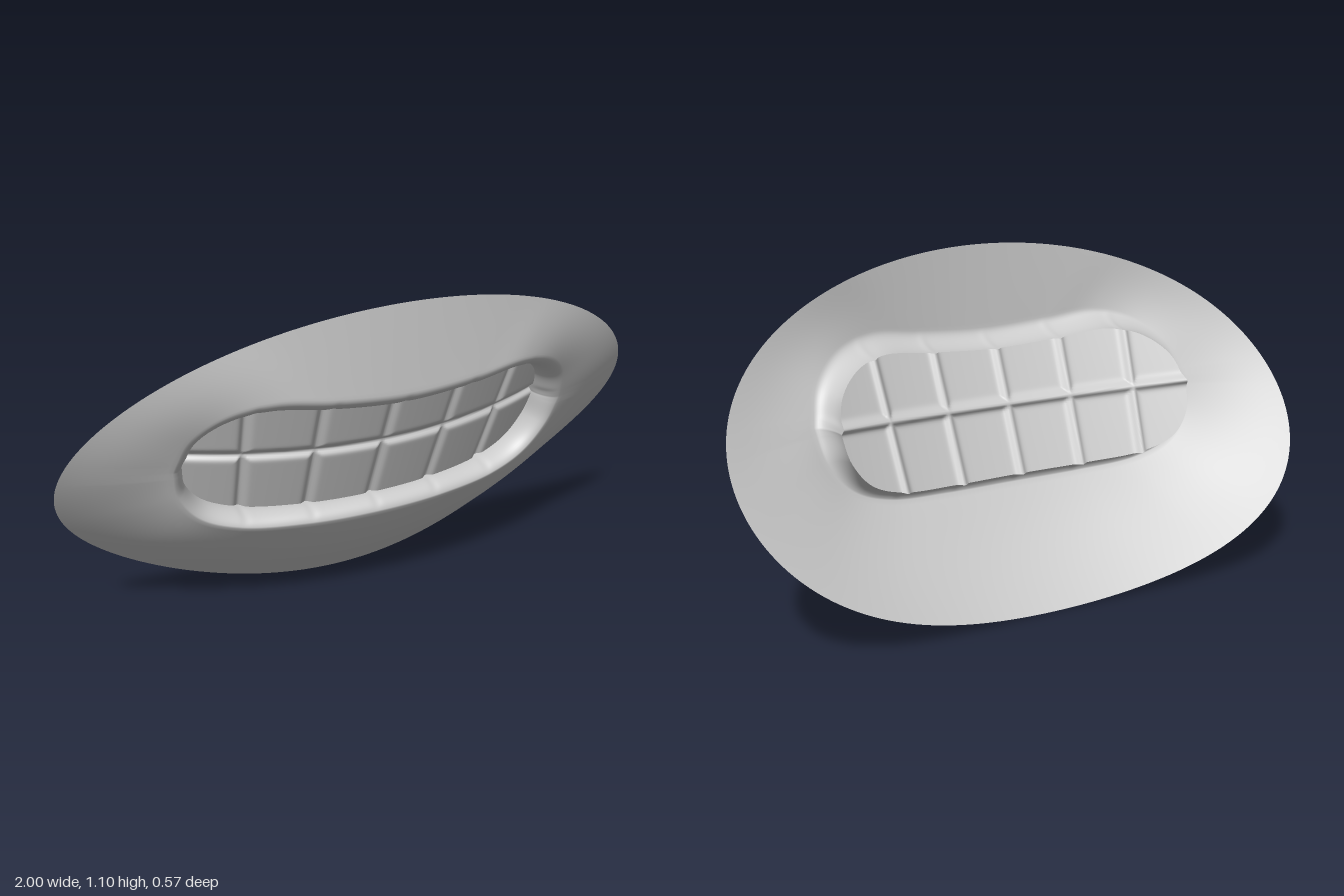
import * as THREE from 'three';

const N = 400; // samples along each half of the mouth outline
const material = new THREE.MeshStandardMaterial({ color: 0xcccccc, side: THREE.DoubleSide });

// Smooth sheet from a rule point(i, j); closed sheets wrap round in i
function sheet(name, cols, rows, closed, point) {
  const pos = [], index = [], w = closed ? cols : cols + 1;
  for (let j = 0; j <= rows; j++)
    for (let i = 0; i < w; i++) pos.push(...point(i, j / rows));
  for (let j = 0; j < rows; j++)
    for (let i = 0; i < cols; i++) {
      const a = j * w + i, b = j * w + (i + 1) % w;
      index.push(a, b, b + w, a, b + w, a + w);
    }
  const geo = new THREE.BufferGeometry();
  geo.setAttribute('position', new THREE.Float32BufferAttribute(pos, 3));
  geo.setIndex(index);
  geo.computeVertexNormals();
  const mesh = new THREE.Mesh(geo, material);
  mesh.name = name;
  return mesh;
}

// Mirrored half outline, sampled from the right corner (-x) to the left (+x)
function mouthEdge(half) {
  const left = half.map(([x, y]) => new THREE.Vector3(x, y, 0));
  const right = half.slice(1).reverse().map(([x, y]) => new THREE.Vector3(-x, y, 0));
  return new THREE.CatmullRomCurve3([...right, ...left]).getPoints(N);
}

// Bowed, leaning tooth row with grooves between the teeth
function toothZ(x, y) {
  const groove = (d, depth) => depth * Math.exp(-((d / 0.014) ** 2));
  let cut = groove(y - 0.603 - 0.07 * x * x, 0.02);
  for (const g of [-0.45, -0.228, 0, 0.228, 0.45])
    cut = Math.max(cut, groove(x - g * (1 + 0.15 * (y - 0.6)), 0.016));
  return 0.108 + 0.44 * (y - 0.59) - 0.33 * x * x - cut;
}

// Depth of the outer rim, s running from -1 (bottom) to 1 (top)
const rimZ = s => -0.085 + 0.398 * s + 0.026 * s ** 2 - 0.138 * s ** 3 + 0.079 * s ** 4;

export function createModel() {
  const group = new THREE.Group();
  group.name = 'mouth';

  const bottom = mouthEdge([[0, 0.385], [0.25, 0.39], [0.45, 0.41], [0.56, 0.455], [0.617, 0.53], [0.635, 0.615]]);
  const top = mouthEdge([[0, 0.77], [0.25, 0.785], [0.42, 0.802], [0.53, 0.775], [0.605, 0.71], [0.635, 0.615]]);

  // Teeth fill the opening between the lower and upper edges
  group.add(sheet('teeth', N, 64, false, (i, v) => {
    const x = THREE.MathUtils.lerp(bottom[i].x, top[i].x, v);
    const y = THREE.MathUtils.lerp(bottom[i].y, top[i].y, v);
    return [x, y, toothZ(x, y)];
  }));

  // Counter-clockwise loop round the opening, with lip ridge and rim points
  const loop = [...bottom.slice(0, N), ...top.slice(1).reverse()];
  const M = loop.length;
  const ribs = loop.map((p, i) => {
    const a = loop[(i + M - 6) % M], b = loop[(i + 6) % M];
    const n = new THREE.Vector2(b.y - a.y, a.x - b.x).normalize();
    const width = 0.05 + 0.004 * n.y;
    const rx = p.x + n.x * width, ry = p.y + n.y * width;
    const angle = Math.atan2((p.y - 0.59) / 0.2, p.x / 0.635);
    const s = Math.sin(angle);
    return {
      inner: new THREE.Vector3(p.x, p.y, toothZ(p.x, p.y)),
      ridge: new THREE.Vector3(rx, ry, 0.08 + 0.42 * (ry - 0.345) - 0.25 * rx * rx),
      rim: new THREE.Vector3(Math.cos(angle), 0.552 + 0.552 * s, rimZ(s)),
      bulge: 0.0125 * (1 - s),
    };
  });

  // Skin runs from the rim to the lip ridge, then rolls in to the teeth
  group.add(sheet('lipsAndSkin', M, 32, true, (i, v) => {
    const { inner, ridge, rim, bulge } = ribs[i];
    if (v <= 0.625) {
      const t = v / 0.625;
      const p = rim.clone().lerp(ridge, t);
      return [p.x, p.y, p.z + bulge * Math.sin(Math.PI * t)];
    }
    const a = (1 - v) / 0.375 * Math.PI / 2;
    const p = inner.clone().lerp(ridge, 1 - Math.cos(a));
    return [p.x, p.y, THREE.MathUtils.lerp(inner.z, ridge.z, Math.sin(a))];
  }));

  return group;
}
